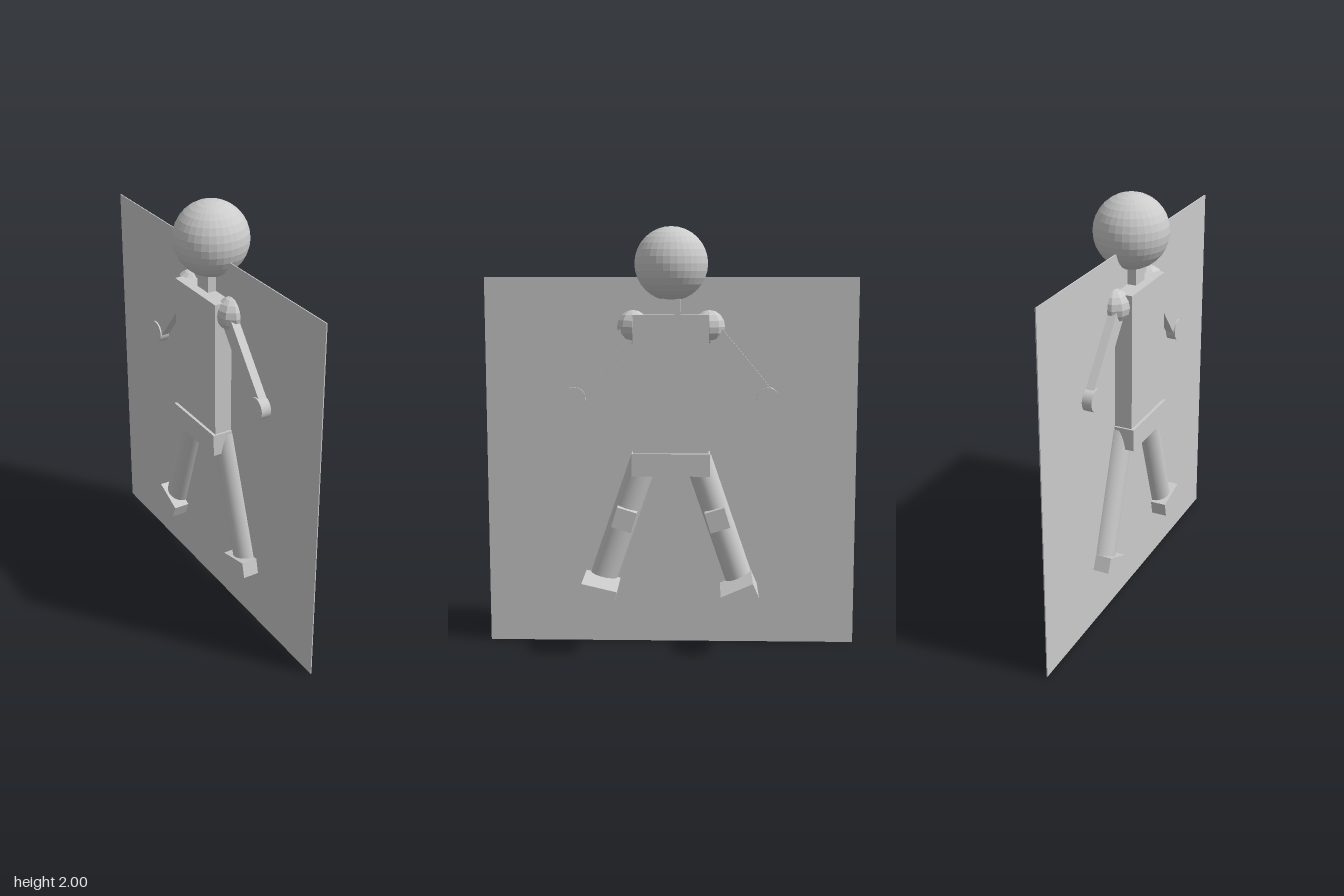
import * as THREE from 'three';

const CX = -0.05; // plane of the body's middle

export function createModel() {
  const group = new THREE.Group();
  const smooth = new THREE.MeshStandardMaterial({ color: 0xcccccc });
  const flat = new THREE.MeshStandardMaterial({ color: 0xcccccc, flatShading: true });

  function add(name, geometry, x, y, z, tilt = 0, material = smooth) {
    const mesh = new THREE.Mesh(geometry, material);
    mesh.name = name;
    mesh.position.set(x, y, z);
    mesh.rotation.x = tilt;
    group.add(mesh);
    return mesh;
  }
  const box = (w, h, d) => new THREE.BoxGeometry(w, h, d);

  // Thin upright panel running through the figure
  add('panel', box(0.005, 1.765, 1.765), CX, 0.8825, 0);

  // Head, neck, trunk
  add('head', new THREE.SphereGeometry(0.173, 32, 16), CX, 1.827, 0, 0, flat);
  add('neck', box(0.09, 0.14, 0.09), CX, 1.63, 0);
  add('torso', box(0.175, 0.65, 0.356), CX, 1.265, 0);
  add('pelvis', box(0.2, 0.107, 0.37), CX, 0.885, 0);

  for (const s of [1, -1]) {
    const side = s > 0 ? 'front' : 'back';

    // Arm: faceted shoulder, square limb, round hand lying across
    add(side + 'Shoulder', new THREE.SphereGeometry(0.078, 10, 8), CX, 1.533, s * 0.18, 0, flat);
    const dz = 0.277, dy = 0.335;
    add(side + 'Arm', box(0.085, Math.hypot(dz, dy), 0.083),
      CX, 1.365, s * 0.3185, -s * Math.atan2(dz, dy));
    const hand = add(side + 'Hand', new THREE.CylinderGeometry(0.052, 0.052, 0.1, 24), CX, 1.197, s * 0.457);
    hand.rotation.z = Math.PI / 2;

    // Leg: splayed cylinder with a knee pad
    add(side + 'Leg', new THREE.CylinderGeometry(0.066, 0.066, 0.61, 32), CX, 0.615, s * 0.227, -s * 0.33);
    add(side + 'KneePad', box(0.06, 0.1, 0.098), 0.022, 0.62, s * 0.222, -s * 0.3);
  }

  // Feet point along +x, each with its own roll
  add('frontFoot', box(0.35, 0.075, 0.17), 0.045, 0.297, 0.337, -0.23);
  add('backFoot', box(0.35, 0.073, 0.163), 0.045, 0.292, -0.326, 0.41);

  return group;
}
